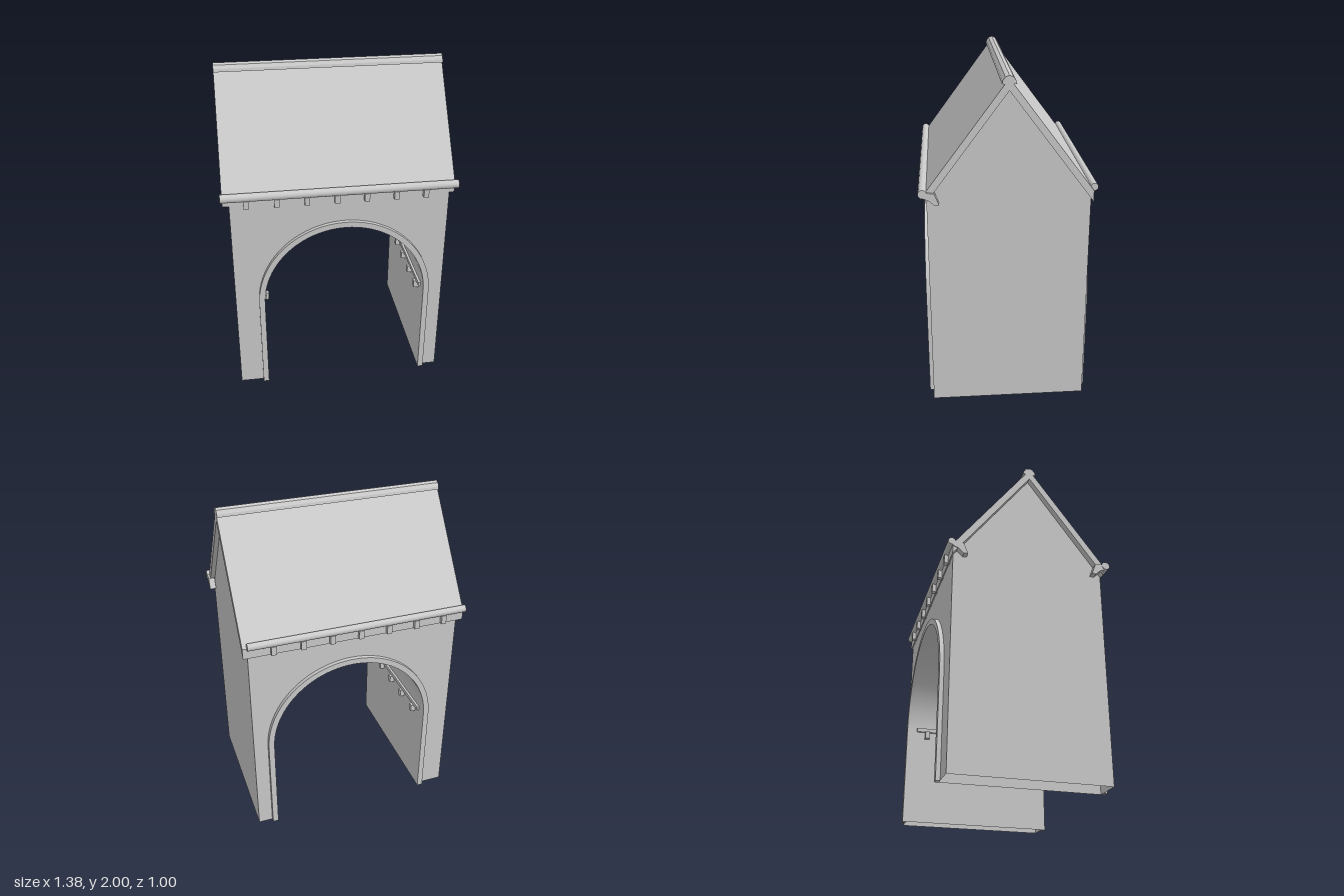
import * as THREE from 'three';

const W = 0.647, D = 0.46, MID = -0.005;        // half width, half depth, depth centre
const EAVE = 1.3, APEX = 1.92;
const ARCH_X = 0.0275, ARCH_R = 0.4975, SPRING = 0.6225, BAND = 0.035;

const mat = new THREE.MeshStandardMaterial({ color: 0xcccccc, side: THREE.DoubleSide });

export function createModel() {
  const group = new THREE.Group();

  const add = (name, geometry) => {
    const mesh = new THREE.Mesh(geometry, mat);
    mesh.name = name;
    group.add(mesh);
    return mesh;
  };
  const box = (name, w, h, d, x, y, z) =>
    add(name, new THREE.BoxGeometry(w, h, d)).position.set(x, y, z);

  // Solid with a constant (z, y) outline running from x0 to x1
  const prism = (name, outline, x0, x1) => {
    const shape = new THREE.Shape(outline.map(([z, y]) => new THREE.Vector2(-z, y)));
    const geo = new THREE.ExtrudeGeometry(shape, { depth: x1 - x0, bevelEnabled: false });
    return add(name, geo.rotateY(Math.PI / 2).translate(x0, 0, 0));
  };

  // Points up one jamb, over the arch and down the other
  const archPoints = (r, cx) => {
    const pts = [new THREE.Vector2(cx - r, 0)];
    for (let i = 0; i <= 48; i++) {
      const a = Math.PI * (1 - i / 48);
      pts.push(new THREE.Vector2(cx + r * Math.cos(a), SPRING + r * Math.sin(a)));
    }
    pts.push(new THREE.Vector2(cx + r, 0));
    return pts;
  };

  // Front and back walls, each with its arch band
  for (const s of [1, -1]) {
    const cx = s * ARCH_X;
    const side = s > 0 ? 'front' : 'back';
    const wall = new THREE.Shape([
      ...archPoints(ARCH_R, cx),
      new THREE.Vector2(W, 0), new THREE.Vector2(W, EAVE + 0.02),
      new THREE.Vector2(-W, EAVE + 0.02), new THREE.Vector2(-W, 0),
    ]);
    const wallMesh = add(side + 'Wall', new THREE.ShapeGeometry(wall));
    const band = new THREE.Shape([
      ...archPoints(ARCH_R + BAND, cx), ...archPoints(ARCH_R, cx).reverse(),
    ]);
    const bandMesh = add(side + 'ArchBand',
      new THREE.ExtrudeGeometry(band, { depth: 0.025, bevelEnabled: false }));
    for (const m of [wallMesh, bandMesh]) {
      m.position.z = MID + s * D;
      if (s < 0) m.rotation.y = Math.PI;
    }
  }

  // Gable walls
  for (const s of [1, -1]) {
    const gable = new THREE.Shape([
      [-D, 0], [D, 0], [D, EAVE], [-s * MID * -1, APEX], [-D, EAVE],
    ].map(([x, y]) => new THREE.Vector2(x, y)));
    const m = add(s > 0 ? 'leftGable' : 'rightGable', new THREE.ShapeGeometry(gable));
    m.rotation.y = s * Math.PI / 2;
    m.position.set(s * W, 0, MID);
  }

  // Passage lining: a plane bent along the arch
  const path = archPoints(ARCH_R, ARCH_X);
  const lining = new THREE.PlaneGeometry(1, 1, path.length - 1, 1);
  const pos = lining.attributes.position;
  for (let i = 0; i < pos.count; i++) {
    const p = path[i % path.length];
    pos.setXYZ(i, p.x, p.y, MID + (i < path.length ? D : -D));
  }
  lining.computeVertexNormals();
  add('passageLining', lining);

  // Roof slab and ridge cap
  prism('roof', [
    [0.46, 1.365], [0, 1.985], [-0.475, 1.35], [-0.475, 1.285], [0, APEX], [0.46, 1.3],
  ], -0.685, 0.675);
  prism('ridgeCap', [
    [0.04, 1.955], [0.036, 1.972], [0.022, 1.992], [0, 2], [-0.022, 1.992],
    [-0.036, 1.972], [-0.04, 1.955], [0, 1.95],
  ], -0.685, 0.675);

  // Rounded eave rails
  const rail = (name, x0, x1, y, z, r) => {
    const geo = new THREE.CylinderGeometry(r, r, x1 - x0, 16).rotateZ(Math.PI / 2);
    add(name, geo).position.set((x0 + x1) / 2, y, z);
  };
  rail('frontRail', -0.695, 0.69, 1.36, 0.476, 0.025);
  rail('backRail', -0.69, 0.65, 1.363, -0.482, 0.022);

  // Shaped brackets at the rail ends
  const bracket = [
    [0.475, 1.37], [0.41, 1.36], [0.385, 1.295], [0.41, 1.292], [0.44, 1.32], [0.475, 1.335],
  ];
  prism('frontLeftBracket', bracket, 0.65, 0.688);
  prism('frontRightBracket', bracket, -0.692, -0.65);
  prism('backRightBracket', bracket.map(([z, y]) => [-z, y]), -0.69, -0.65);

  // Blocks under both eaves
  for (let i = 0; i < 7; i++) {
    const x = -0.55 + i * 0.175;
    box('frontEaveBlock', 0.03, 0.055, 0.035, x, 1.317, 0.472);
    box('backEaveBlock', 0.03, 0.055, 0.035, x, 1.317, -0.48);
  }

  // Ledges and blocks inside the passage
  for (const s of [1, -1]) {
    const wallX = ARCH_X + s * ARCH_R;
    box('passageLedge', 0.015, 0.025, 0.84, wallX - s * 0.0075, 0.6225, MID);
    for (let i = -2; i <= 2; i++) {
      box('passageBlock', 0.03, 0.047, 0.03, wallX - s * 0.015, 0.587, MID + i * 0.175);
    }
  }

  return group;
}
